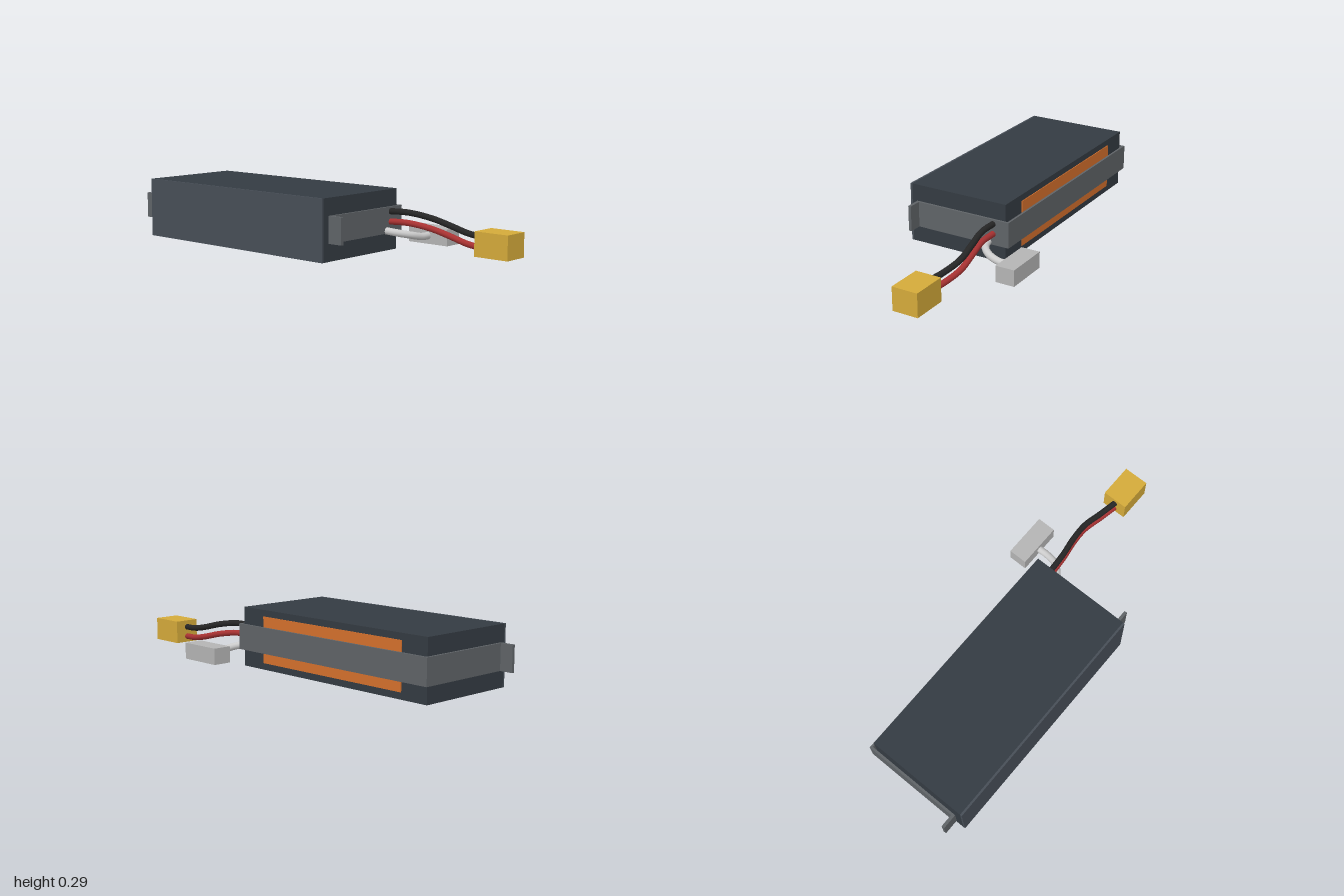
import * as THREE from 'three';

export function createModel() {
  const group = new THREE.Group();
  group.name = 'batteryPack';

  const mat = (color) => new THREE.MeshStandardMaterial({ color });
  const shell = mat(0x343b42), panel = mat(0x474e57), metal = mat(0x5f6367);
  const orange = mat(0xd4702c), yellow = mat(0xd4aa3a), pale = mat(0xb4b4b4);
  const black = mat(0x262626), red = mat(0xa83232), white = mat(0xdcdce0);

  // Box given by its extents on each axis
  function box(name, material, [x0, x1], [y0, y1], [z0, z1], parent = group) {
    const mesh = new THREE.Mesh(new THREE.BoxGeometry(x1 - x0, y1 - y0, z1 - z0), material);
    mesh.position.set((x0 + x1) / 2, (y0 + y1) / 2, (z0 + z1) / 2);
    mesh.name = name;
    parent.add(mesh);
  }

  // Round cable through a few points
  function cable(name, material, radius, points) {
    const curve = new THREE.CatmullRomCurve3(points.map((p) => new THREE.Vector3(...p)));
    const mesh = new THREE.Mesh(new THREE.TubeGeometry(curve, 40, radius, 12), material);
    mesh.name = name;
    group.add(mesh);
  }

  // Cell block, side panel and label
  box('packBody', shell, [-0.35, 0.172], [0, 0.295], [-0.917, 0.277]);
  box('sidePanel', panel, [-0.36, -0.35], [0, 0.295], [-0.917, 0.277]);
  box('label', orange, [0.17, 0.176], [0.033, 0.263], [-0.77, 0.132]);

  // U-shaped bracket wrapped round three sides, with outward end tabs
  const bracket = new THREE.Group();
  bracket.name = 'bracket';
  group.add(bracket);
  const height = [0.085, 0.213];
  box('bracketSide', metal, [0.184, 0.195], height, [-0.934, 0.291], bracket);
  for (const s of [1, -1]) {
    const span = (a, b) => [-0.3215 + s * a, -0.3215 + s * b].sort((p, q) => p - q);
    box('bracketArm', metal, [-0.32, 0.184], height, span(0.6015, 0.6125), bracket);
    box('bracketTab', metal, [-0.32, -0.305], height, span(0.6125, 0.6785), bracket);
  }

  // Power leads and plug
  const path = [[0.11, 0.19, 0.27], [0.117, 0.193, 0.4], [0.137, 0.175, 0.52],
    [0.145, 0.15, 0.62], [0.128, 0.129, 0.73], [0.11, 0.122, 0.83]];
  cable('blackLead', black, 0.015, path);
  cable('redLead', red, 0.015, path.map(([x, y, z]) => [x, y - 0.05, z]));
  box('powerPlug', yellow, [0.048, 0.178], [0.042, 0.157], [0.823, 1]);

  // Balance lead and plug
  cable('balanceLead', white, 0.018,
    [[0.08, 0.1, 0.27], [0.1, 0.092, 0.34], [0.15, 0.08, 0.385], [0.21, 0.068, 0.4], [0.27, 0.066, 0.4]]);
  box('balancePlug', pale, [0.262, 0.358], [0.026, 0.107], [0.285, 0.515]);

  return group;
}
